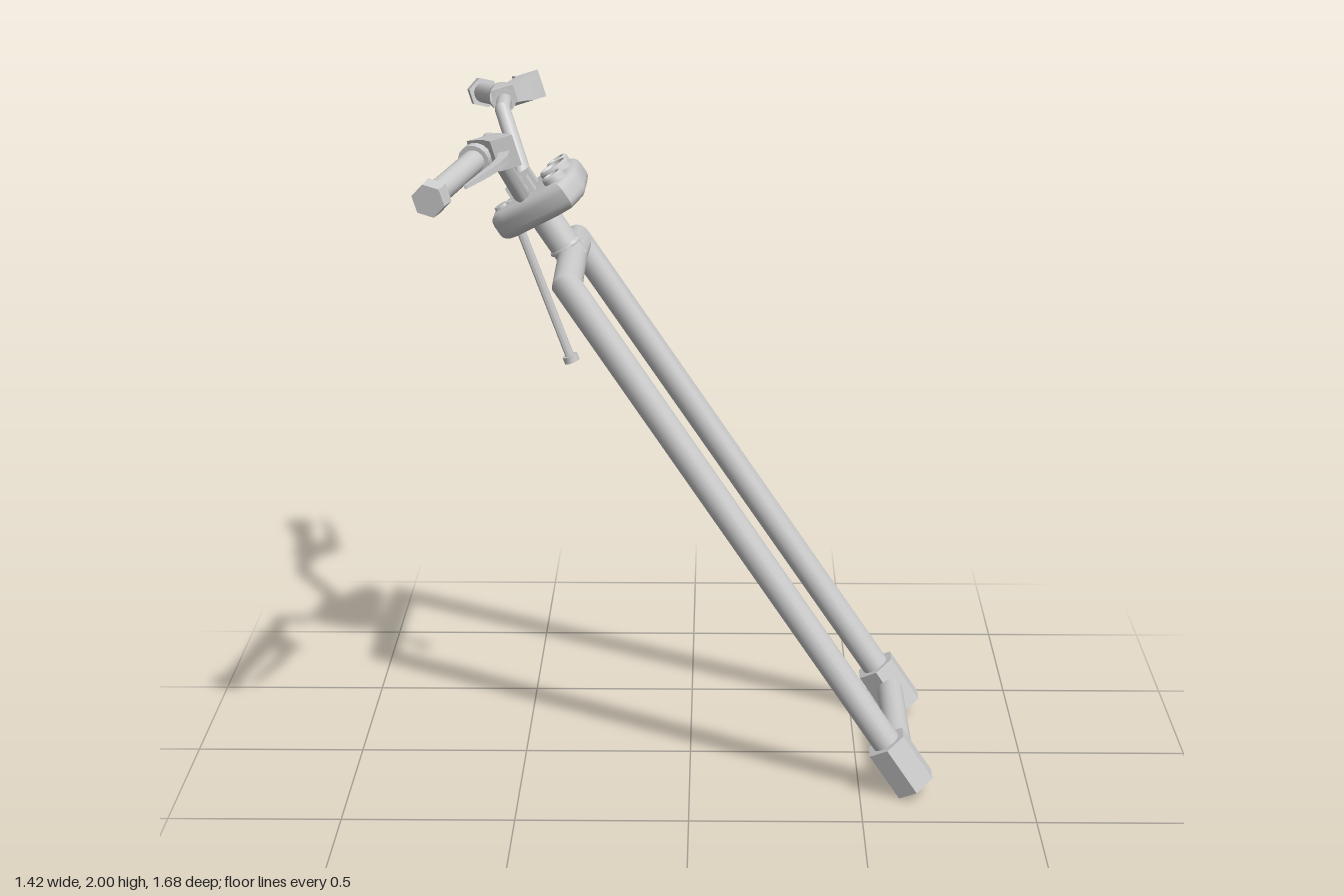
import * as THREE from 'three';
import { toCreasedNormals } from 'three/addons/utils/BufferGeometryUtils.js';

const material = new THREE.MeshStandardMaterial({ color: 0xcccccc });
const V = (x, y, z) => new THREE.Vector3(x, y, z);

function part(name, geometry, crease = 0.7) {
  const mesh = new THREE.Mesh(toCreasedNormals(geometry, crease), material);
  mesh.name = name;
  return mesh;
}

// Straight round or polygonal bar between two points
function rod(name, a, b, ra, rb = ra, sides = 16) {
  const dir = b.clone().sub(a);
  const mesh = part(name, new THREE.CylinderGeometry(rb, ra, dir.length(), sides));
  mesh.position.copy(a).add(b).multiplyScalar(0.5);
  mesh.quaternion.setFromUnitVectors(V(0, 1, 0), dir.normalize());
  return mesh;
}

// Closed skin over a list of rings, turned so that its faces look outward
function skin(rings) {
  const tris = [];
  const n = rings[0].length;
  for (let i = 0; i < rings.length - 1; i++) {
    for (let j = 0; j < n; j++) {
      const k = (j + 1) % n;
      const [a, b, c, d] = [rings[i][j], rings[i][k], rings[i + 1][k], rings[i + 1][j]];
      tris.push([a, b, c], [a, c, d]);
    }
  }
  const last = rings[rings.length - 1];
  for (let j = 1; j < n - 1; j++) {
    tris.push([rings[0][0], rings[0][j + 1], rings[0][j]], [last[0], last[j], last[j + 1]]);
  }
  const volume = tris.reduce((sum, [a, b, c]) => sum + a.dot(b.clone().cross(c)), 0);
  if (volume < 0) tris.forEach((t) => t.reverse());
  return new THREE.BufferGeometry().setFromPoints(tris.flat());
}

// Tube along a path of straight pieces with mitred corners
function mitredTube(name, path, radius, sides = 16) {
  const dirs = path.slice(1).map((p, i) => p.clone().sub(path[i]).normalize());
  const side = V(0.31, 0.2, 0.93).cross(dirs[0]).normalize();
  const other = dirs[0].clone().cross(side);
  let ring = Array.from({ length: sides }, (_, j) => {
    const t = (j / sides) * Math.PI * 2;
    return path[0].clone().addScaledVector(side, radius * Math.cos(t)).addScaledVector(other, radius * Math.sin(t));
  });
  const rings = [ring];
  dirs.forEach((d, i) => {
    const normal = d.clone().add(dirs[i + 1] || d).normalize();
    ring = ring.map((p) => {
      const t = path[i + 1].clone().sub(p).dot(normal) / d.dot(normal);
      return p.clone().addScaledVector(d, t);
    });
    rings.push(ring);
  });
  return part(name, skin(rings));
}

// Loft through tilted rectangles given as [x, y, z, width, height]
function boxLoft(name, sections, tilt, s) {
  const c = Math.cos(tilt), q = Math.sin(tilt);
  const rings = sections.map(([x, y, z, w, h]) =>
    [[-1, -1], [1, -1], [1, 1], [-1, 1]].map(([i, j]) => {
      const u = (i * w) / 2, v = (j * h) / 2;
      return V(x + u * c - v * q, y + u * q + v * c, z * s);
    }));
  return part(name, skin(rings), 0.5);
}

function createFork() {
  const fork = new THREE.Group();
  fork.name = 'fork';
  // Both legs and the crown in one bent tube
  fork.add(mitredTube('forkLegsAndCrown', [
    V(0.62, 0.1, 0.305), V(-0.34, 1.53, 0.287), V(-0.34, 1.548, 0),
    V(-0.34, 1.53, -0.287), V(0.62, 0.1, -0.305),
  ], 0.042));
  for (const s of [1, -1]) {
    fork.add(rod('axleSocket', V(0.663, 0.034, 0.305 * s), V(0.575, 0.166, 0.305 * s), 0.067, 0.067, 6));
  }
  fork.add(rod('axle', V(0.62, 0.1, -0.29), V(0.62, 0.1, 0.29), 0.04));
  // Stem up to the instruments
  fork.add(rod('stem', V(-0.335, 1.54, 0), V(-0.435, 1.69, 0), 0.045));
  const collar = part('stemCollar', new THREE.TorusGeometry(0.044, 0.007, 8, 20), 2);
  collar.position.set(-0.36, 1.578, 0);
  collar.quaternion.setFromUnitVectors(V(0, 0, 1), V(-0.555, 0.832, 0).normalize());
  fork.add(collar);
  return fork;
}

function createInstruments() {
  const panel = new THREE.Group();
  panel.name = 'instrumentPanel';
  panel.position.set(-0.43, 1.712, 0);
  panel.rotation.z = 0.575;

  // Shield-shaped housing with rounded rims
  const half = [[0.142, 0.1], [0.1, 0.19], [0.035, 0.172], [-0.11, 0.085], [-0.147, 0.04]];
  const outline = [...half, ...half.map(([x, z]) => [x, -z]).reverse()];
  const shape = new THREE.Shape(outline.map(([x, z]) => new THREE.Vector2(x, z)));
  const housing = new THREE.ExtrudeGeometry(shape, {
    depth: 0.03, bevelThickness: 0.028, bevelSize: 0.028, bevelOffset: -0.028, bevelSegments: 4,
  });
  housing.translate(0, 0, -0.015).rotateX(-Math.PI / 2);
  panel.add(part('housing', housing));

  // Round dials with raised rims
  for (const [z, r, top] of [[0, 0.047, 0.066], [0.108, 0.034, 0.062], [-0.108, 0.034, 0.062]]) {
    const profile = [[0, 0.03], [r, 0.03], [r, top - 0.006], [r - 0.006, top], [r - 0.011, top], [r - 0.013, top - 0.008], [0, top - 0.008]];
    const dial = part('dial', new THREE.LatheGeometry(profile.map(([x, y]) => new THREE.Vector2(x, y)), 16));
    dial.position.set(0.086, 0, z);
    panel.add(dial);
  }

  // Handlebar clamps
  for (const s of [1, -1]) {
    const clamp = part('handlebarClamp', new THREE.BoxGeometry(0.072, 0.055, 0.038));
    clamp.position.set(-0.02, 0.062, 0.052 * s);
    panel.add(clamp);
  }

  // Key lock
  panel.add(rod('keyLock', V(-0.105, 0.03, 0), V(-0.105, 0.052, 0), 0.022, 0.02, 12));
  return panel;
}

function createHandlebar() {
  const bars = new THREE.Group();
  bars.name = 'handlebar';
  const half = [[-0.48, 1.752, 0.1], [-0.553, 1.93, 0.245], [-0.562, 1.93, 0.46], [-0.645, 1.892, 0.76]];
  const path = [
    ...half.map(([x, y, z]) => V(x, y, -z)).reverse(),
    ...half.map(([x, y, z]) => V(x, y, z)),
  ];
  bars.add(mitredTube('bar', path, 0.023));

  for (const s of [1, -1]) {
    const side = new THREE.Group();
    side.name = s > 0 ? 'leftControls' : 'rightControls';
    const start = V(-0.562, 1.93, 0.46 * s);
    const end = V(-0.667, 1.882, 0.825 * s);
    const along = (t) => start.clone().lerp(end, t);
    side.add(
      rod('grip', along(0.08), along(0.93), 0.032),
      rod('gripFlange', along(0.05), along(0.12), 0.044),
      rod('gripEndCap', along(0.86), along(0.98), 0.048, 0.046, 6),
      rod('leverCollar', V(-0.561, 1.93, 0.39 * s), V(-0.563, 1.93, 0.425 * s), 0.036),
    );
    // Lever bracket flaring outward, then the tapering lever blade
    side.add(boxLoft('leverBracket', [
      [-0.56, 1.942, 0.395, 0.07, 0.055], [-0.548, 1.945, 0.425, 0.07, 0.065],
      [-0.515, 1.948, 0.46, 0.06, 0.075], [-0.485, 1.952, 0.53, 0.062, 0.085],
    ], 0.3, s));
    side.add(boxLoft('lever', [
      [-0.487, 1.945, 0.5, 0.03, 0.028], [-0.488, 1.943, 0.58, 0.03, 0.022],
      [-0.505, 1.94, 0.67, 0.028, 0.018], [-0.533, 1.934, 0.76, 0.02, 0.015],
      [-0.565, 1.925, 0.84, 0.008, 0.01],
    ], 0.2, s));
    bars.add(side);
  }
  return bars;
}

// Thin rod hanging below the panel with a small end knob
function createHangingRod() {
  const group = new THREE.Group();
  group.name = 'hangingRod';
  group.add(
    rod('rodShaft', V(-0.52, 1.71, 0), V(-0.35, 1.245, 0), 0.013, 0.013, 10),
    rod('rodKnob', V(-0.352, 1.252, 0), V(-0.345, 1.233, 0), 0.023, 0.023, 10),
  );
  return group;
}

export function createModel() {
  const model = new THREE.Group();
  model.name = 'frontForkAndHandlebar';
  model.add(createFork(), createInstruments(), createHandlebar(), createHangingRod());
  return model;
}
